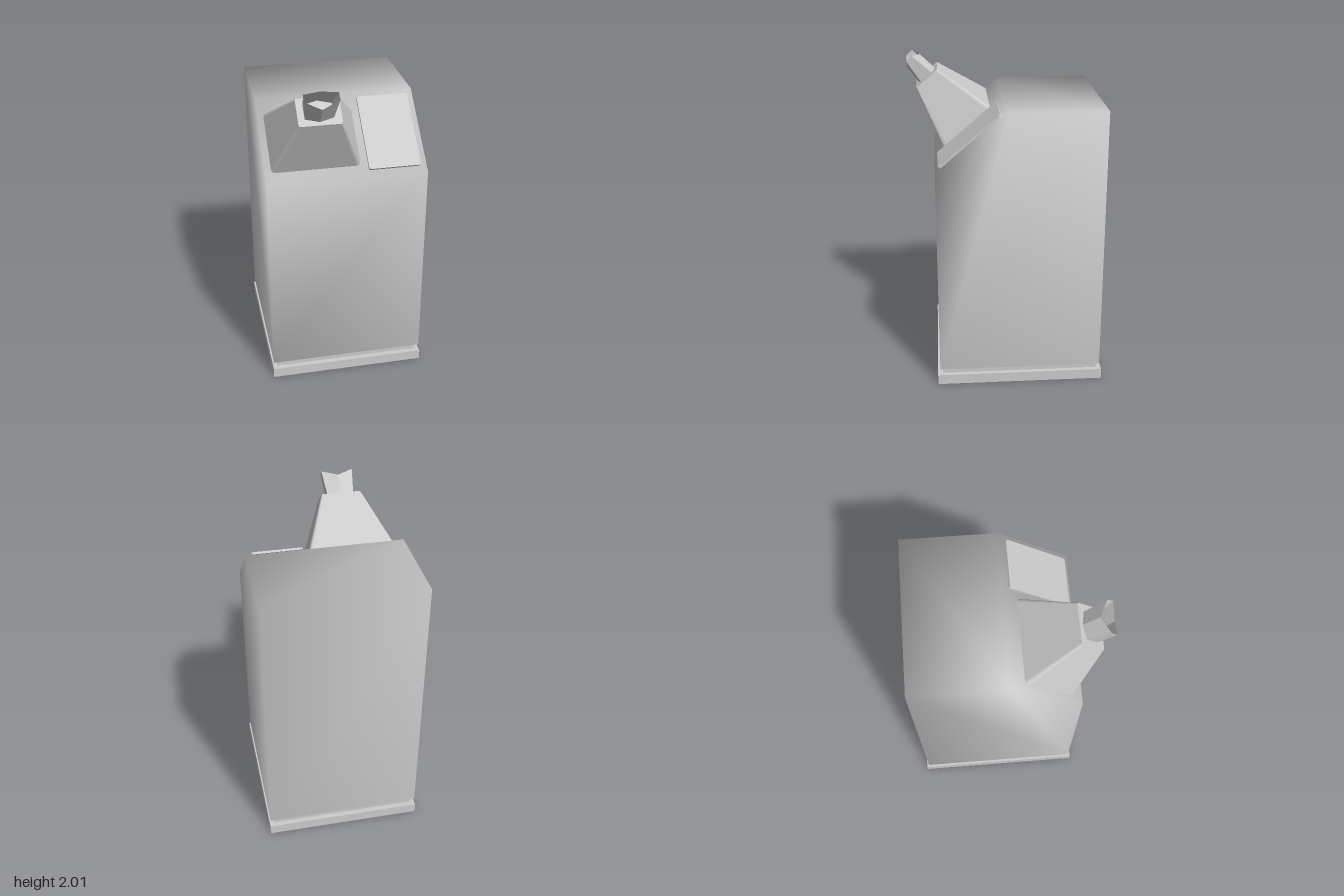
import * as THREE from 'three';
import { mergeVertices } from 'three/addons/utils/BufferGeometryUtils.js';

const grey = (extra = {}) => new THREE.MeshStandardMaterial({ color: 0xcccccc, ...extra });

function addMesh(parent, name, geometry, material, x = 0, y = 0, z = 0) {
  const mesh = new THREE.Mesh(geometry, material);
  mesh.name = name;
  mesh.position.set(x, y, z);
  parent.add(mesh);
  return mesh;
}

// Flat plate with rounded corners, centred on x and y, rising along z
function roundedPlate(w, h, r, depth) {
  const a = w / 2, b = h / 2;
  const s = new THREE.Shape();
  s.moveTo(-a + r, -b);
  s.lineTo(a - r, -b).quadraticCurveTo(a, -b, a, -b + r);
  s.lineTo(a, b - r).quadraticCurveTo(a, b, a - r, b);
  s.lineTo(-a + r, b).quadraticCurveTo(-a, b, -a, b - r);
  s.lineTo(-a, -b + r).quadraticCurveTo(-a, -b, -a + r, -b);
  return new THREE.ExtrudeGeometry(s, { depth, bevelEnabled: false, curveSegments: 4 });
}

// Cabinet with a sloping upper front, shaded softly across its corners
function cabinetGeometry() {
  const profile = [[0.435, 0.105], [0.435, 1.4], [0, 1.775], [-0.59, 1.78], [-0.59, 0.105]];
  const shape = new THREE.Shape(profile.map(([z, y]) => new THREE.Vector2(z, y)));
  let g = new THREE.ExtrudeGeometry(shape, { depth: 0.98, bevelEnabled: false });
  g.rotateY(-Math.PI / 2).translate(0.49, 0, 0);
  g.deleteAttribute('uv');
  g.deleteAttribute('normal');
  g = mergeVertices(g);
  g.computeVertexNormals();
  // keep the lower rim shaded as upright walls
  const p = g.attributes.position, n = g.attributes.normal, v = new THREE.Vector3();
  for (let i = 0; i < p.count; i++) {
    if (p.getY(i) > 0.2) continue;
    v.fromBufferAttribute(n, i).setY(0).normalize();
    n.setXYZ(i, v.x, v.y, v.z);
  }
  return g;
}

// Hood: rounded plate whose far end shrinks
function hoodGeometry() {
  const depth = 0.367;
  const g = roundedPlate(0.54, 0.394, 0.03, depth);
  const p = g.attributes.position;
  for (let i = 0; i < p.count; i++) {
    const t = p.getZ(i) / depth;
    p.setX(i, p.getX(i) * (1 - 0.53 * t));
    p.setY(i, p.getY(i) * (1 - 0.548 * t));
  }
  g.computeVertexNormals();
  return g;
}

// Open six-sided spout with a notched rim
function spoutGeometry() {
  const ring = (x, y, peak, zSide, zPeak) => [
    [0, peak, zPeak], [-x, y, zSide], [-x, -y, zSide],
    [0, -peak, zPeak], [x, -y, zSide], [x, y, zSide],
  ];
  const rings = [ring(0.084, 0.045, 0.068, 0, 0), ring(0.1, 0.024, 0.057, 0.165, 0.125)];
  const index = [];
  for (let i = 0; i < 6; i++) {
    const j = (i + 1) % 6;
    index.push(i, j, j + 6, i, j + 6, i + 6);
  }
  const g = new THREE.BufferGeometry();
  g.setAttribute('position', new THREE.Float32BufferAttribute(rings.flat(2), 3));
  g.setIndex(index);
  g.computeVertexNormals();
  return g;
}

export function createModel() {
  const model = new THREE.Group();
  model.name = 'cabinetWithSpout';

  // Base
  addMesh(model, 'basePlate', new THREE.BoxGeometry(0.99, 0.065, 1.055), grey(), 0, 0.0325, -0.0775);
  addMesh(model, 'plinth', new THREE.BoxGeometry(0.93, 0.045, 0.99), grey(), 0, 0.085, -0.0775);

  // Body
  addMesh(model, 'cabinet', cabinetGeometry(), grey());

  // Parts on the slope: local y runs up the slope, local z points out of it
  const slope = new THREE.Group();
  slope.name = 'slopeParts';
  slope.position.set(0, 1.5875, 0.2175);
  slope.rotation.x = -Math.atan2(0.435, 0.375);
  model.add(slope);

  addMesh(slope, 'panel', roundedPlate(0.32, 0.489, 0.015, 0.014), grey(), 0.29, 0, 0.01);
  addMesh(slope, 'hood', hoodGeometry(), grey({ flatShading: true }), -0.185, -0.012, 0.012);
  addMesh(slope, 'spout', spoutGeometry(),
    grey({ flatShading: true, side: THREE.DoubleSide }), -0.188, -0.012, 0.379);

  return model;
}
